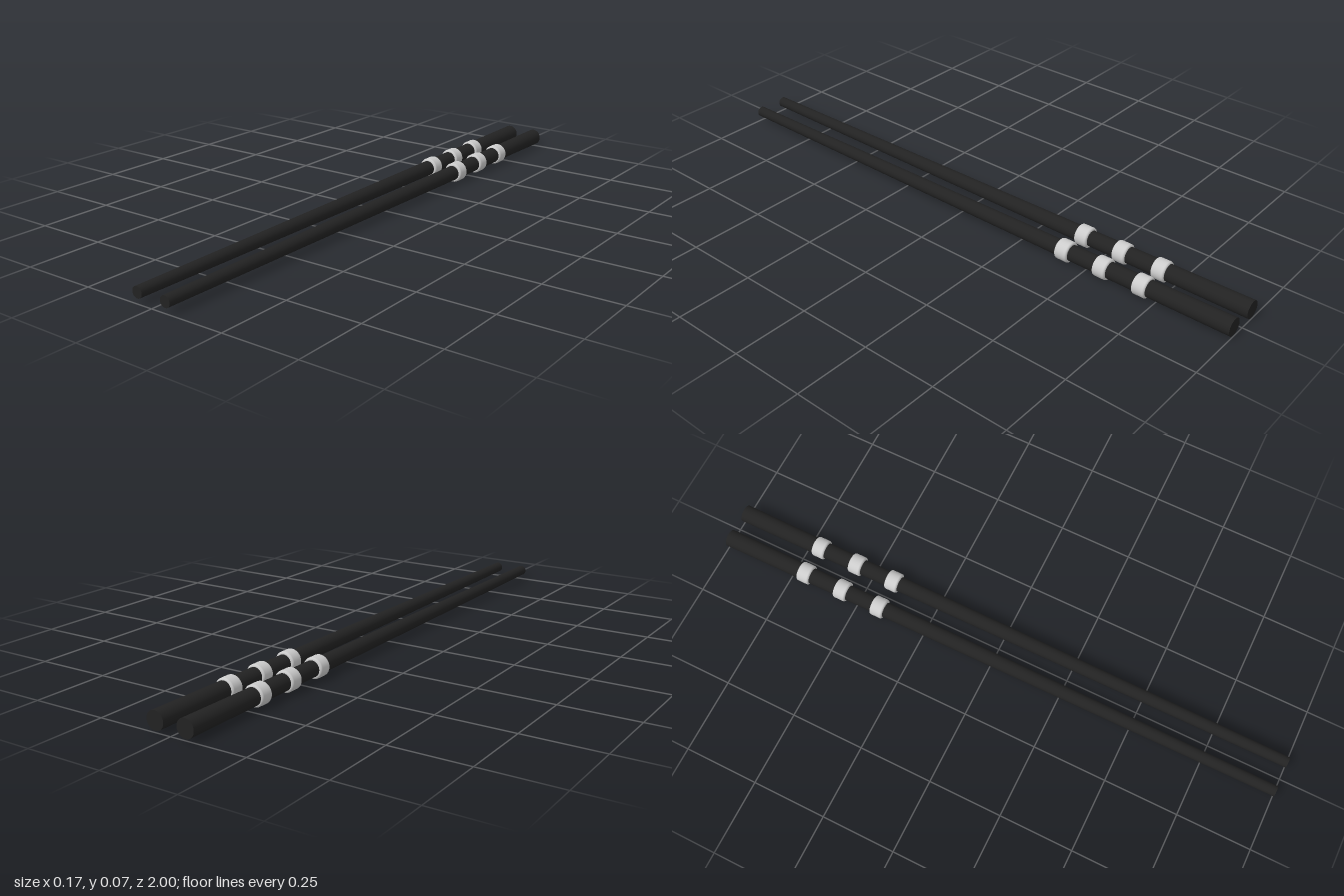
import * as THREE from 'three';

const TIP_R = 0.018, BUTT_R = 0.0292, RING_R = 0.034, RING_HALF = 0.023;

export function createModel() {
  const model = new THREE.Group();
  model.name = 'chopsticks';
  const black = new THREE.MeshStandardMaterial({ color: 0x222222 });
  const grey = new THREE.MeshStandardMaterial({ color: 0xcccccc });

  // Tapered shaft, thin end towards +z
  const shaftGeo = new THREE.CylinderGeometry(TIP_R, BUTT_R, 2, 32).rotateX(Math.PI / 2);

  // Band with rounded shoulders, turned around the shaft
  const c = 0.007, profile = [new THREE.Vector2(0.024, -RING_HALF)];
  for (const [end, start] of [[-1, -Math.PI / 2], [1, 0]]) {
    for (let i = 0; i <= 5; i++) {
      const a = start + (i / 5) * Math.PI / 2;
      profile.push(new THREE.Vector2(
        RING_R - c + c * Math.cos(a),
        end * (RING_HALF - c) + c * Math.sin(a)));
    }
  }
  profile.push(new THREE.Vector2(0.024, RING_HALF));
  const ringGeo = new THREE.LatheGeometry(profile, 40).rotateX(Math.PI / 2);

  for (const [side, name] of [[1, 'left'], [-1, 'right']]) {
    const stick = new THREE.Group();
    stick.name = name + 'Chopstick';
    stick.position.set(side * 0.052, RING_R, 0);
    const shaft = new THREE.Mesh(shaftGeo, black);
    shaft.name = 'shaft';
    stick.add(shaft);

    // Three decorative bands near the thick end
    [-0.42, -0.56, -0.70].forEach((z, i) => {
      const ring = new THREE.Mesh(ringGeo, grey);
      ring.name = 'ring' + (i + 1);
      ring.position.z = z;
      stick.add(ring);
    });
    model.add(stick);
  }
  return model;
}
